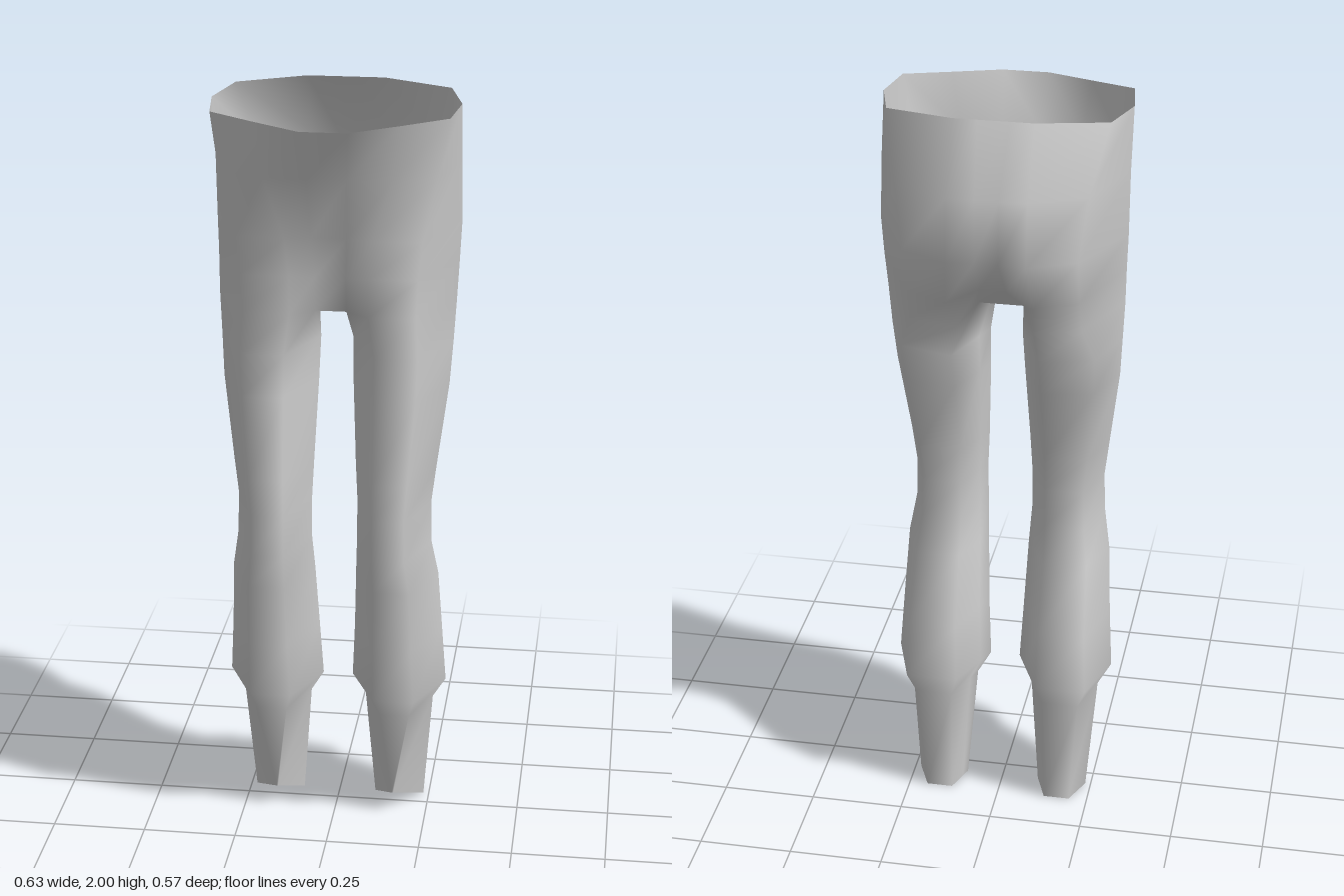
import * as THREE from 'three';

// Half cross-sections of the hips, as [x, y, z], running from the centre front
// around the outer side to the centre back.
const HIPS = [
  // waistband
  [[.06, 1.965, .285], [.18, 1.972, .226], [.297, 1.98, .167], [.315, 1.985, .03],
    [.277, 1.992, -.11], [.1, 2, -.17], [.04, 2, -.17]],
  // upper seat
  [[.05, 1.83, .225], [.16, 1.83, .215], [.27, 1.83, .17], [.315, 1.83, -.01],
    [.24, 1.83, -.195], [.1, 1.83, -.262], [.03, 1.83, -.265]],
  // fullest part of the seat
  [[.045, 1.67, .178], [.11, 1.67, .195], [.235, 1.67, .185], [.316, 1.67, -.03],
    [.22, 1.67, -.228], [.1, 1.67, -.283], [.03, 1.67, -.275]],
  // under the seat
  [[.04, 1.56, .158], [.1, 1.57, .19], [.225, 1.57, .185], [.312, 1.57, -.02],
    [.22, 1.55, -.2], [.11, 1.54, -.235], [.035, 1.56, -.19]],
  // crotch
  [[.04, 1.47, .145], [.1, 1.47, .19], [.22, 1.47, .185], [.308, 1.47, .0],
    [.22, 1.45, -.15], [.1, 1.44, -.165], [.058, 1.47, -.07]],
];

// Leg sections: y, inner x, outer x, front z, back z, inner back z, side z
const LEG = [
  [1.36, .042, .302, .19, -.128, -.165, .01],
  [1.25, .045, .295, .2, -.1, -.122, .03],
  [1.03, .055, .267, .225, -.05, -.05, .06],
  [.93, .06, .255, .225, -.05, -.05, .065],
  [.82, .06, .258, .225, -.05, -.05, .07],
  [.72, .055, .275, .2, -.078, -.078, .045],
  [.54, .048, .285, .175, -.15, -.15, .01],
  [.38, .04, .295, .15, -.165, -.165, -.01],
  [.32, .075, .26, .11, -.145, -.145, -.02],
];

// Ankle hem, notched up at the front
const HEM = [[.1, 0, -.05], [.158, .06, .068], [.162, .06, .068], [.235, 0, -.05],
  [.2, 0, -.13], [.13, 0, -.13], [.11, 0, -.075]];

// Six-sided leg section, with one extra point on the inner back side
function legRing([y, inner, outer, front, back, backIn, side]) {
  const at = (t) => inner + (outer - inner) * t;
  return [
    [inner, y, side], [at(.28), y, front], [at(.71), y, front], [outer, y, side],
    [at(.8), y, back], [at(.27), y, backIn],
    [at(.08), y, side + (backIn - side) * .3],
  ];
}

function trouserGeometry() {
  const rings = [...HIPS, ...LEG.map(legRing), HEM];
  const n = 7, half = rings.length * n, crotch = HIPS.length - 1;
  const positions = [], index = [];
  for (const s of [1, -1]) {
    for (const ring of rings) for (const [x, y, z] of ring) positions.push(s * x, y, z);
  }
  const id = (s, i, j) => (s > 0 ? 0 : half) + i * n + j;
  // a, b on the upper row; c, d below them
  const quad = (a, b, c, d) => index.push(a, c, b, b, c, d);

  for (let i = 0; i < rings.length - 1; i++) {
    // the legs close on their inner side, the hips stay open there
    const columns = i < crotch ? n - 1 : n;
    for (let j = 0; j < columns; j++) {
      const k = (j + 1) % n;
      quad(id(1, i, j), id(1, i, k), id(1, i + 1, j), id(1, i + 1, k));
      quad(id(-1, i, k), id(-1, i, j), id(-1, i + 1, k), id(-1, i + 1, j));
    }
    // join the two halves down the centre front and back
    if (i < crotch) {
      quad(id(-1, i, 0), id(1, i, 0), id(-1, i + 1, 0), id(1, i + 1, 0));
      quad(id(1, i, n - 1), id(-1, i, n - 1), id(1, i + 1, n - 1), id(-1, i + 1, n - 1));
    }
  }
  // crotch gusset between the legs
  quad(id(-1, crotch, 0), id(1, crotch, 0), id(-1, crotch, n - 1), id(1, crotch, n - 1));

  const geometry = new THREE.BufferGeometry();
  geometry.setAttribute('position', new THREE.Float32BufferAttribute(positions, 3));
  geometry.setIndex(index);
  geometry.computeVertexNormals();
  return geometry;
}

export function createModel() {
  const cloth = new THREE.MeshStandardMaterial({ color: 0xcccccc, side: THREE.DoubleSide });
  cloth.name = 'greyCloth';
  const trousers = new THREE.Mesh(trouserGeometry(), cloth);
  trousers.name = 'trousers';
  const group = new THREE.Group();
  group.name = 'trousersModel';
  group.add(trousers);
  return group;
}
